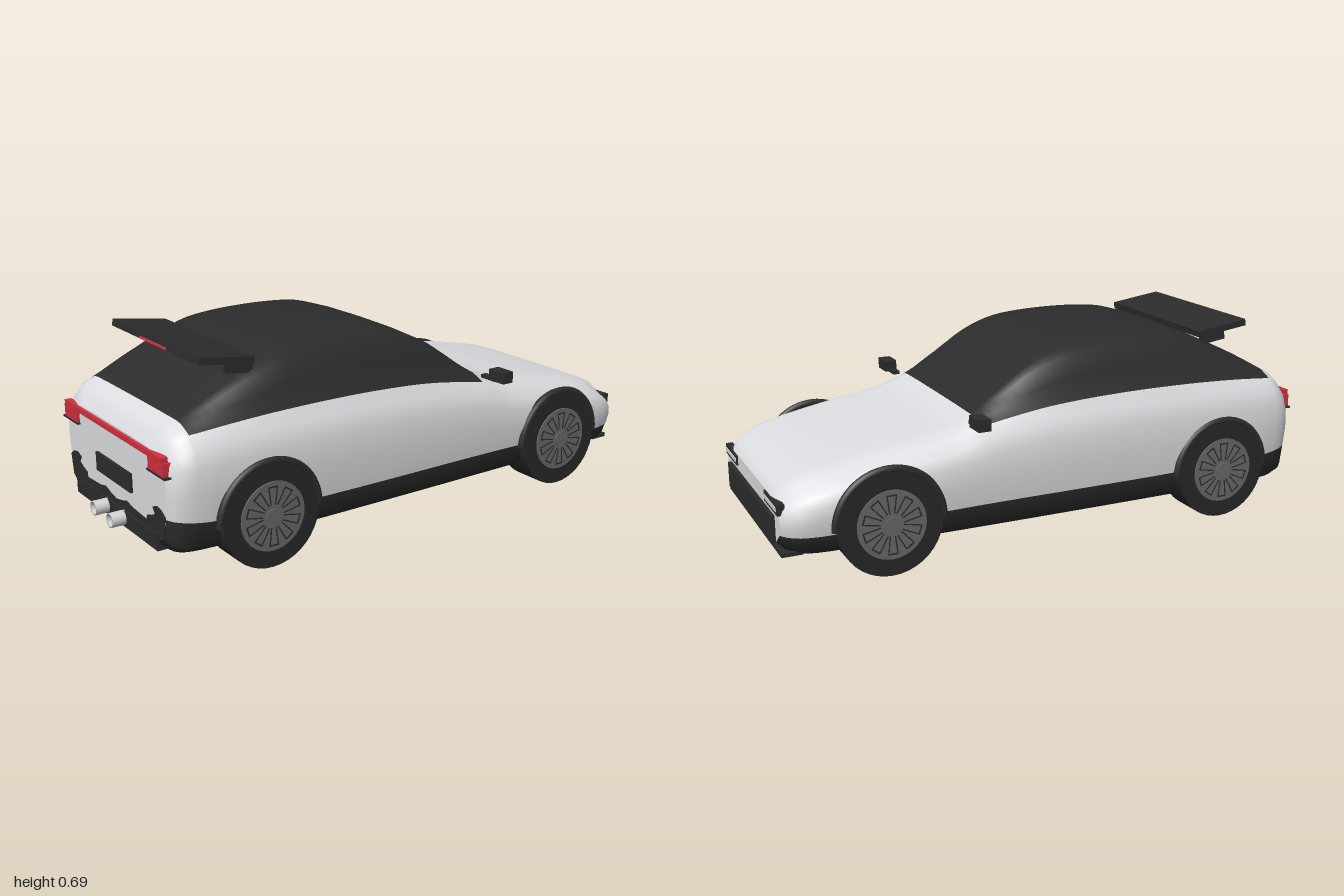
import * as THREE from 'three';

const mat = (name, color) => Object.assign(new THREE.MeshStandardMaterial({ color }), { name });

// Smooth curve through [z, value] keys, evaluated at z
function curve(keys) {
  const n = keys.length;
  const slope = i => {
    const a = keys[Math.max(0, i - 1)], b = keys[Math.min(n - 1, i + 1)];
    return (b[1] - a[1]) / (b[0] - a[0]);
  };
  return z => {
    let i = 0;
    while (i < n - 2 && z > keys[i + 1][0]) i++;
    const [z0, v0] = keys[i], [z1, v1] = keys[i + 1], d = z1 - z0;
    const t = Math.min(1, Math.max(0, (z - z0) / d)), t2 = t * t, t3 = t2 * t;
    return (2 * t3 - 3 * t2 + 1) * v0 + (t3 - 2 * t2 + t) * d * slope(i)
      + (3 * t2 - 2 * t3) * v1 + (t3 - t2) * d * slope(i + 1);
  };
}

// Body lines along the length (nose at -z, tail at +z)
const NOSE = -0.985, TAIL = 0.943, GLASS_FRONT = -0.31, GLASS_REAR = 0.858;
const width = curve([[NOSE, 0.36], [-0.965, 0.39], [-0.92, 0.415], [-0.8, 0.43], [-0.4, 0.435],
  [0.5, 0.436], [0.8, 0.43], [0.88, 0.418], [0.925, 0.395], [TAIL, 0.365]]);
const floorLine = curve([[NOSE, 0.125], [-0.95, 0.1], [-0.85, 0.092], [0.85, 0.092], [0.92, 0.1], [TAIL, 0.125]]);
const sill = curve([[NOSE, 0.165], [-0.85, 0.165], [-0.45, 0.185], [0.4, 0.19], [0.8, 0.2], [TAIL, 0.215]]);
const belt = curve([[NOSE, 0.25], [-0.96, 0.27], [-0.9, 0.3], [-0.8, 0.33], [-0.6, 0.37], [-0.4, 0.41],
  [GLASS_FRONT, 0.44], [0, 0.485], [0.45, 0.497], [GLASS_REAR, 0.475], [0.91, 0.445], [TAIL, 0.4]]);
const roof = curve([[NOSE, 0.272], [-0.965, 0.3], [-0.9, 0.335], [-0.8, 0.362], [-0.6, 0.4], [-0.4, 0.433],
  [GLASS_FRONT, 0.468], [-0.2, 0.545], [-0.1, 0.615], [0, 0.66], [0.1, 0.68], [0.3, 0.687], [0.48, 0.675],
  [0.57, 0.65], [0.7, 0.59], [GLASS_REAR, 0.503], [0.91, 0.473], [TAIL, 0.425]]);

// Closed cross-section: floor centre, up the +x side, over the roof, down the -x side
function section(z) {
  const w = width(z), f = floorLine(z), s = sill(z), b = belt(z), t = roof(z), wb = w - 0.057;
  const half = [[0, f], [w - 0.06, f], [w - 0.022, f + 0.03], [w - 0.01, s]];
  for (const [k, inset] of [[0.35, 0], [0.65, 0.003], [0.86, 0.02]]) half.push([w - inset, s + (b - s) * k]);
  for (const [kx, ky] of [[1, 0], [0.93, 0.42], [0.86, 0.8], [0.78, 0.94], [0.45, 0.985], [0, 1]])
    half.push([wb * kx, b + (t - b) * ky]);
  return half.concat(half.slice(1, -1).reverse().map(([x, y]) => [-x, y]));
}

function bodyGeometry() {
  const zs = [NOSE, -0.978];
  const span = (a, b, n) => { for (let i = 0; i < n; i++) zs.push(a + (b - a) * i / n); };
  span(-0.965, GLASS_FRONT, 20);
  span(GLASS_FRONT, GLASS_REAR, 36);
  span(GLASS_REAR, TAIL, 6);
  zs.push(TAIL);
  const pos = [], paintIdx = [], darkIdx = [], N = 24;
  zs.forEach(z => section(z).forEach(([x, y]) => pos.push(x, y, z)));
  for (let k = 0; k < zs.length - 1; k++) {
    const zm = (zs[k] + zs[k + 1]) / 2;
    for (let i = 0; i < N; i++) {
      const row = i < 12 ? i : 23 - i;
      const dark = row < 3 || (row >= 7 && zm > GLASS_FRONT && zm < GLASS_REAR);
      const a = k * N + i, b = k * N + (i + 1) % N;
      (dark ? darkIdx : paintIdx).push(a, b, b + N, a, b + N, a + N);
    }
  }
  const g = new THREE.BufferGeometry();
  g.setAttribute('position', new THREE.Float32BufferAttribute(pos, 3));
  g.setIndex(paintIdx.concat(darkIdx));
  g.addGroup(0, paintIdx.length, 0);
  g.addGroup(paintIdx.length, darkIdx.length, 1);
  g.computeVertexNormals();
  return g;
}

export function createModel() {
  const car = new THREE.Group();
  car.name = 'car';
  const paint = mat('silver white paint', 0xdcdde0);
  const dark = mat('dark trim', 0x2c2c2c);
  const rubber = mat('tyre rubber', 0x282828);
  const alloy = mat('grey alloy', 0x68686b);
  const red = mat('red lamp', 0xd0303e);
  const chrome = mat('bright metal', 0xd2d2d2);

  const add = (name, geo, material, x = 0, y = 0, z = 0, parent = car) => {
    const m = new THREE.Mesh(geo, material);
    m.name = name;
    m.position.set(x, y, z);
    parent.add(m);
    return m;
  };
  const box = (name, material, w, h, d, x, y, z, parent) =>
    add(name, new THREE.BoxGeometry(w, h, d), material, x, y, z, parent);

  // Body shell with its end panels
  add('bodyShell', bodyGeometry(), [paint, dark]);
  const panel = z => new THREE.ShapeGeometry(new THREE.Shape(section(z).map(p => new THREE.Vector2(...p))));
  add('tailPanel', panel(TAIL), paint, 0, 0, TAIL);
  add('nosePanel', panel(NOSE), paint, 0, 0, NOSE).rotation.y = Math.PI;

  // Scalloped lower rear bumper
  const edge = [[0, 0.168], [0.04, 0.175], [0.08, 0.187], [0.12, 0.178], [0.17, 0.175], [0.225, 0.172],
    [0.228, 0.19], [0.26, 0.2], [0.285, 0.212], [0.27, 0.232], [0.3, 0.243], [0.33, 0.238], [0.355, 0.222]];
  const low = [[0.343, 0.15], [0.305, 0.125]];
  const right = edge.concat(low);
  const outline = right.concat(right.slice(1).reverse().map(([x, y]) => [-x, y]));
  add('rearBumperTrim', new THREE.ExtrudeGeometry(new THREE.Shape(outline.map(p => new THREE.Vector2(...p))),
    { depth: 0.004, bevelEnabled: false }), dark, 0, 0, TAIL - 0.001);

  // Rear details
  box('diffuser', dark, 0.61, 0.055, 0.06, 0, 0.122, 0.922);
  box('rearPlate', dark, 0.258, 0.066, 0.009, 0, 0.263, 0.947);
  box('tailLightBar', red, 0.72, 0.018, 0.024, 0, 0.41, 0.942);
  for (const s of [-1, 1]) {
    box('tailLight', red, 0.103, 0.044, 0.03, s * 0.317, 0.38, 0.937);
    box('tailLightLip', dark, 0.12, 0.006, 0.035, s * 0.32, 0.356, 0.937);
    const pipe = add('exhaustPipe', new THREE.LatheGeometry([[0.025, 0], [0.025, 0.07], [0.02, 0.07], [0.02, 0.01]]
      .map(p => new THREE.Vector2(...p)), 24), chrome, s * 0.063, 0.125, 0.93);
    pipe.rotation.x = Math.PI / 2;
    add('exhaustBore', new THREE.CircleGeometry(0.021, 24), dark, s * 0.063, 0.125, 0.962);
  }

  // Spoiler tilted up towards the tail
  const spoiler = new THREE.Group();
  spoiler.name = 'spoiler';
  spoiler.position.set(0, 0.666, 0.685);
  spoiler.rotation.x = -0.14;
  car.add(spoiler);
  box('spoilerBlade', dark, 0.612, 0.024, 0.2, 0, 0, 0, spoiler);
  box('highBrakeLight', red, 0.186, 0.009, 0.004, 0, -0.007, 0.1, spoiler);
  for (const s of [-1, 1]) box('spoilerEnd', dark, 0.012, 0.05, 0.1, s * 0.3, -0.015, -0.045, spoiler);

  // Nose details
  box('grille', dark, 0.6, 0.09, 0.03, 0, 0.17, -0.984);
  box('splitter', dark, 0.72, 0.014, 0.07, 0, 0.1, -0.95);
  for (const s of [-1, 1]) {
    box('headlightHousing', dark, 0.165, 0.036, 0.025, s * 0.275, 0.25, -0.978);
    box('headlightBar', chrome, 0.145, 0.014, 0.008, s * 0.272, 0.25, -0.989);
  }

  // Door mirrors
  for (const s of [-1, 1]) {
    box('mirror', dark, 0.075, 0.04, 0.045, s * 0.443, 0.475, -0.336);
    box('mirrorArm', dark, 0.07, 0.012, 0.025, s * 0.395, 0.458, -0.33);
  }

  // Wheels: modelled facing +x, turned round for the other side
  for (const z of [0.615, -0.645]) for (const s of [-1, 1]) {
    const wheel = new THREE.Group();
    wheel.name = 'wheel';
    wheel.position.set(0, 0.178, z);
    wheel.rotation.y = s > 0 ? 0 : Math.PI;
    car.add(wheel);
    const disc = (name, r, len, x, material) =>
      add(name, new THREE.CylinderGeometry(r, r, len, 40), material, x, 0, 0, wheel).rotation.z = Math.PI / 2;
    disc('tyre', 0.176, 0.122, 0.381, rubber);
    disc('rim', 0.117, 0.012, 0.441, alloy);
    disc('hub', 0.026, 0.01, 0.446, alloy);
    add('wheelArch', new THREE.TorusGeometry(0.182, 0.014, 8, 32, Math.PI), dark, 0.43, 0, 0, wheel)
      .rotation.y = Math.PI / 2;
    for (let i = 0; i < 10; i++) {
      const slot = new THREE.Group();
      slot.name = 'rimSlot';
      slot.rotation.x = i * Math.PI / 5;
      wheel.add(slot);
      for (const t of [-1, 1])
        box('slotLine', dark, 0.004, 0.06, 0.004, 0.4465, 0.068, t * 0.012, slot).rotation.x = t * 0.12;
      box('slotEnd', dark, 0.004, 0.005, 0.034, 0.4465, 0.099, 0, slot);
    }
  }
  return car;
}
